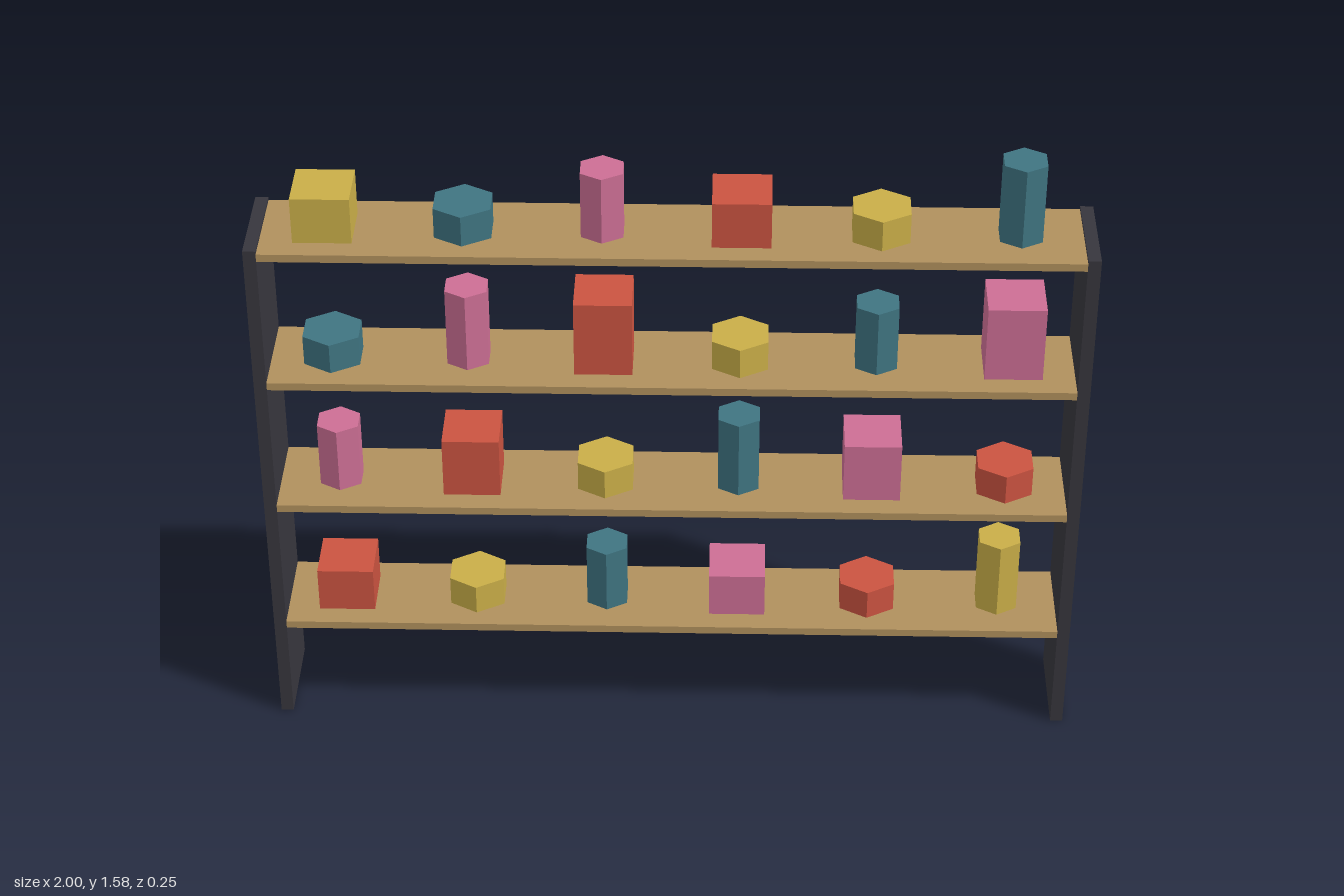
import * as THREE from 'three';

function material(name, color) {
  const m = new THREE.MeshStandardMaterial({ color });
  m.name = name;
  return m;
}

export function createModel() {
  const dark = material('charcoal', 0x37363d);
  const wood = material('wood', 0xb0905d);
  const palette = [
    material('red', 0xca5340),
    material('yellow', 0xc9ae48),
    material('teal', 0x3f7481),
    material('pink', 0xcc6e94),
  ];

  const group = new THREE.Group();
  group.name = 'shelvingUnit';

  function add(name, geometry, mat, x, y, z = 0) {
    const mesh = new THREE.Mesh(geometry, mat);
    mesh.name = name;
    mesh.position.set(x, y, z);
    group.add(mesh);
  }

  // Side panels
  const height = 1.378, depth = 0.25, panel = 0.031, board = 0.02;
  for (const [name, side] of [['leftPanel', 1], ['rightPanel', -1]]) {
    add(name, new THREE.BoxGeometry(panel, height, depth), dark, side * (1 - panel / 2), height / 2);
  }

  // Goods: box, low wide hexagonal tin, slim hexagonal jar
  const kinds = [
    { name: 'box', make: h => new THREE.BoxGeometry(0.14, h, 0.14) },
    { name: 'tin', make: h => new THREE.CylinderGeometry(0.078, 0.078, h, 6).toNonIndexed() },
    { name: 'jar', make: h => new THREE.CylinderGeometry(0.058, 0.058, h, 6).toNonIndexed() },
  ];
  const heights = [
    [0.118, 0.078, 0.172, 0.118, 0.078, 0.205],
    [0.172, 0.158, 0.078, 0.205, 0.158, 0.078],
    [0.078, 0.205, 0.196, 0.078, 0.172, 0.196],
    [0.118, 0.078, 0.172, 0.118, 0.078, 0.205],
  ];

  // Shelves, each row shifting the shape and colour sequences by one
  heights.forEach((row, r) => {
    const top = 0.287 + r * 0.361;
    add(`shelf${r + 1}`, new THREE.BoxGeometry(2 - 2 * panel, board, depth), wood, 0, top - board / 2);
    row.forEach((h, i) => {
      const kind = kinds[(i - r + 6) % 3];
      const geometry = kind.make(h);
      geometry.computeVertexNormals(); // flat facets
      add(`${kind.name}${r + 1}_${i + 1}`, geometry, palette[(i - r + 4) % 4], (i - 2.5) * 0.328, top + h / 2);
    });
  });

  return group;
}
